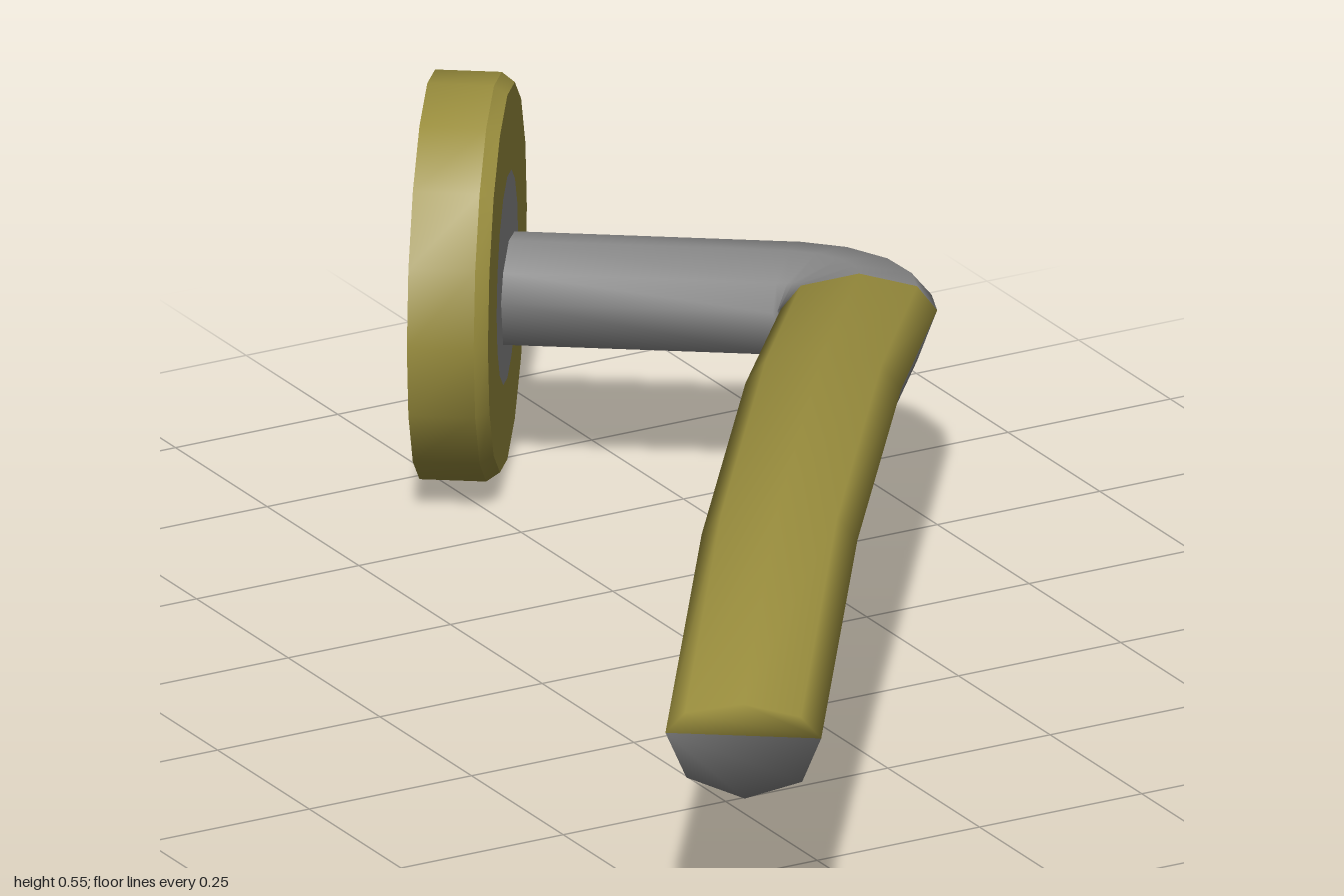
import * as THREE from 'three';
import { toCreasedNormals } from 'three/addons/utils/BufferGeometryUtils.js';

const grey = new THREE.MeshStandardMaterial({ color: 0x8b8b8b, side: THREE.DoubleSide });
const gold = new THREE.MeshStandardMaterial({ color: 0x998d3d, side: THREE.DoubleSide });

// Handle cross-section (across, up): points 0 to 4 form the upper half
const section = [
  [0.105, 0.025], [0.078, 0.058], [0, 0.075], [-0.078, 0.058],
  [-0.105, 0.025], [-0.078, -0.045], [0, -0.075], [0.078, -0.045],
];
const HALF = section.length / 2;

// Centre line: arm out of the rose, rounded bend, cranked lever
const path = [new THREE.Vector3(-0.328, 0.253, -0.642)];
const BEND = 4;
for (let i = 0; i <= BEND; i++) {
  const a = (i / BEND) * Math.PI / 2;
  path.push(new THREE.Vector3(0.05 + 0.106 * Math.sin(a), 0.253 + 0.015 * (i / BEND) ** 2, -0.52 - 0.122 * Math.cos(a)));
}
const leverStart = path.length - 1;
path.push(
  new THREE.Vector3(0.156, 0.345, -0.04),
  new THREE.Vector3(0.156, 0.356, 0.545),
  new THREE.Vector3(0.156, 0.26, 1.03),
);

// Place the section at path point i, square to the path
function ring(i) {
  const p = path[i];
  const t = new THREE.Vector3();
  if (i > 0) t.add(p.clone().sub(path[i - 1]).normalize());
  if (i < path.length - 1) t.add(path[i + 1].clone().sub(p).normalize());
  t.normalize();
  const side = new THREE.Vector3(0, 1, 0).cross(t).normalize();
  const up = t.clone().cross(side);
  return section.map(([s, v]) => p.clone().addScaledVector(side, s).addScaledVector(up, v));
}

// Faces of one handle skin, sorted by part so all parts share smooth normals
function handleParts() {
  const n = section.length, last = path.length - 1;
  const faces = { arm: [], leverTop: [], leverUnderside: [] };
  const half = (j) => (j < HALF ? faces.leverTop : faces.leverUnderside);
  for (let i = 0; i < last; i++) {
    for (let j = 0; j < n; j++) {
      const a = i * n + j, b = i * n + (j + 1) % n;
      (i < leverStart ? faces.arm : half(j)).push(a, b, b + n, a, b + n, a + n);
    }
  }
  // Free end, closed by one fan per half
  for (const start of [0, HALF]) {
    for (let j = 1; j < HALF; j++) {
      half(start).push(...[start, start + j, (start + j + 1) % n].map((k) => last * n + k));
    }
  }
  const skin = new THREE.BufferGeometry().setFromPoints(path.flatMap((p, i) => ring(i)));
  skin.setIndex(Object.values(faces).flat());
  skin.computeVertexNormals();
  return Object.entries(faces).map(([name, index]) => {
    const geo = skin.clone();
    geo.setIndex(index);
    return [name, geo];
  });
}

export function createModel() {
  const handle = new THREE.Group();
  handle.name = 'doorHandle';
  const add = (name, geo, mat) => {
    const mesh = new THREE.Mesh(geo, mat);
    mesh.name = name;
    handle.add(mesh);
    return mesh;
  };

  // Rose: shallow cup, open at the back, with a chamfered front edge
  const profile = [[0.275, 0], [0.275, 0.09], [0.262, 0.108], [0.145, 0.108]].map(([r, y]) => new THREE.Vector2(r, y));
  const rose = new THREE.LatheGeometry(profile, 16);
  rose.rotateZ(-Math.PI / 2);
  add('rose', toCreasedNormals(rose, 0.6), gold).position.set(-0.438, 0.275, -0.642);

  // Centre plate of the rose
  const plate = new THREE.CircleGeometry(0.145, 16);
  plate.rotateY(Math.PI / 2);
  add('rosePlate', plate, grey).position.set(-0.33, 0.275, -0.642);

  // Arm with its bend, and the two-tone lever
  for (const [name, geo] of handleParts()) add(name, geo, name === 'leverTop' ? gold : grey);

  // The whole handle stands turned about the vertical
  handle.rotation.y = -0.614;
  const model = new THREE.Group();
  model.add(handle);
  return model;
}
